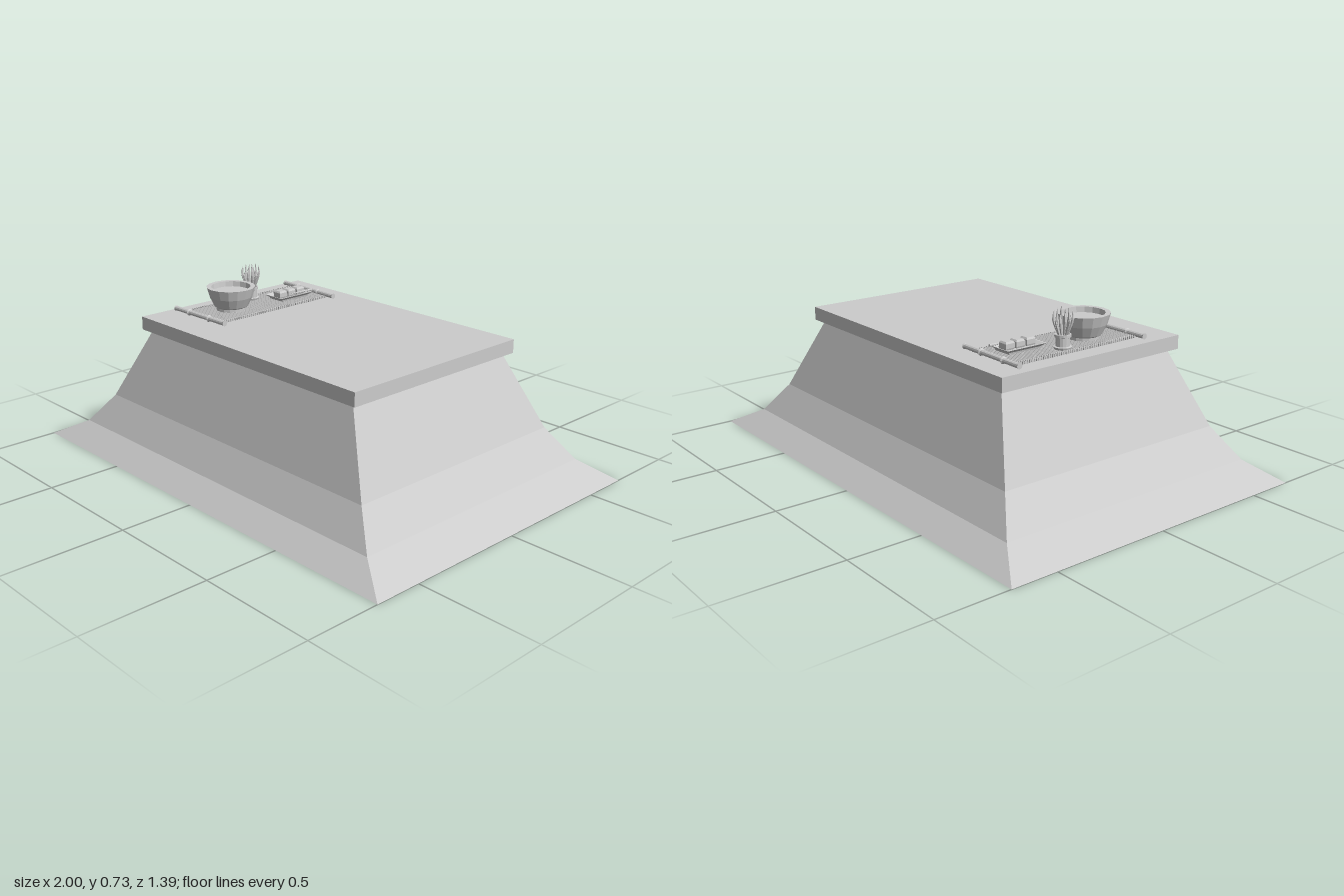
import * as THREE from 'three';

const grey = new THREE.MeshStandardMaterial({ color: 0xcccccc, flatShading: true });
const greyDouble = new THREE.MeshStandardMaterial({ color: 0xcccccc, flatShading: true, side: THREE.DoubleSide });

function add(parent, name, geometry, x = 0, y = 0, z = 0, material = grey) {
  const mesh = new THREE.Mesh(geometry, material);
  mesh.name = name;
  mesh.position.set(x, y, z);
  parent.add(mesh);
  return mesh;
}

function group(parent, name, x, y, z) {
  const g = new THREE.Group();
  g.name = name;
  g.position.set(x, y, z);
  parent.add(g);
  return g;
}

const lathe = (points, sides) =>
  new THREE.LatheGeometry(points.map(([r, y]) => new THREE.Vector2(r, y)), sides);

// Skin stacked rectangles given as [half width, y, half depth], lowest first
function rectLoft(rings, capBottom = false) {
  const positions = [];
  const index = [];
  for (const [w, y, d] of rings) positions.push(-w, y, d, w, y, d, w, y, -d, -w, y, -d);
  for (let r = 0; r < rings.length - 1; r++) {
    for (let i = 0; i < 4; i++) {
      const a = r * 4 + i, b = r * 4 + (i + 1) % 4;
      index.push(a, b, b + 4, a, b + 4, a + 4);
    }
  }
  if (capBottom) index.push(0, 2, 1, 0, 3, 2);
  const geometry = new THREE.BufferGeometry();
  geometry.setAttribute('position', new THREE.Float32BufferAttribute(positions, 3));
  geometry.setIndex(index);
  geometry.computeVertexNormals();
  return geometry;
}

// Slatted mat with stitched cords and a knotted rod at each end
function buildMat(parent) {
  const mat = group(parent, 'mat', -0.44, 0.565, -0.025);
  const slats = 56;
  const slat = new THREE.CylinderGeometry(0.0045, 0.0045, 0.236, 6).rotateZ(Math.PI / 2);
  const stitch = new THREE.BoxGeometry(0.004, 0.0105, 0.0075);
  for (let i = 0; i < slats; i++) {
    const z = -0.3 + 0.6 * i / (slats - 1);
    add(mat, 'slat', slat, 0, 0.0045, z);
    for (const x of [-0.117, -0.107, 0.117]) add(mat, 'stitch', stitch, x, 0.005, z);
  }
  const rod = lathe([
    [0, -0.162], [0.012, -0.162], [0.010, -0.155], [0.010, -0.075], [0.015, -0.07],
    [0.010, -0.065], [0.010, 0.055], [0.015, 0.06], [0.010, 0.065], [0.010, 0.155],
    [0.012, 0.162], [0, 0.162]], 10).rotateZ(-Math.PI / 2);
  for (const side of [-1, 1]) {
    const m = add(mat, 'endRod', rod, 0, 0.014, side * 0.308);
    m.rotation.y = 0.015 * side;
  }
}

// Faceted bowl with a foot and contents
function buildBowl(parent) {
  const bowl = group(parent, 'bowl', -0.447, 0.573, 0.11);
  add(bowl, 'bowlShell', lathe([
    [0, 0], [0.064, 0], [0.064, 0.012], [0.073, 0.018], [0.092, 0.058], [0.104, 0.1],
    [0.084, 0.1], [0.08, 0.07], [0.06, 0.03], [0, 0.025]], 16), 0, 0, 0, greyDouble);
  add(bowl, 'bowlContents', new THREE.CircleGeometry(0.081, 16).rotateX(-Math.PI / 2), 0, 0.078, 0);
}

// Small pot with a tuft of pointed, bulging blades
function buildPlant(parent) {
  const plant = group(parent, 'plant', -0.513, 0.573, -0.055);
  add(plant, 'pot', lathe([
    [0, 0], [0.033, 0], [0.036, 0.009], [0.027, 0.011], [0.027, 0.044],
    [0.032, 0.046], [0.032, 0.056], [0.026, 0.056], [0.025, 0.05], [0, 0.05]], 14));
  const rows = [[4, 0.008, 0.158], [8, 0.022, 0.157], [12, 0.034, 0.148]];
  rows.forEach(([count, spread, top], row) => {
    for (let i = 0; i < count; i++) {
      const a = (i + row * 0.5) / count * Math.PI * 2;
      const height = top - 0.012 * (i % 3);
      const at = (r, y) => new THREE.Vector3(Math.cos(a) * r, y, Math.sin(a) * r);
      const path = new THREE.CatmullRomCurve3([
        at(spread * 0.4, 0.045), at(spread * 0.8, 0.08), at(spread * 1.1, 0.115), at(spread, height)]);
      const radial = 5, steps = 6;
      const blade = new THREE.TubeGeometry(path, steps, 0.0055, radial);
      // Taper each ring toward the tip
      const p = blade.attributes.position;
      const v = new THREE.Vector3();
      for (let k = 0; k < p.count; k++) {
        const t = Math.floor(k / (radial + 1)) / steps;
        const centre = path.getPointAt(t);
        v.fromBufferAttribute(p, k).sub(centre);
        v.multiplyScalar(0.4 + 1.1 * t - 1.45 * t ** 4).add(centre);
        p.setXYZ(k, v.x, v.y, v.z);
      }
      blade.computeVertexNormals();
      add(plant, 'blade', blade, 0, 0, 0, greyDouble);
    }
  });
}

// Flared tray holding three sweets and a pick
function buildTray(parent) {
  const tray = group(parent, 'tray', -0.418, 0.573, -0.192);
  add(tray, 'trayShell', rectLoft([
    [0.04, 0, 0.072], [0.042, 0.008, 0.076], [0.056, 0.02, 0.092],
    [0.052, 0.02, 0.088], [0.038, 0.01, 0.07], [0, 0.01, 0]], true), 0, 0, 0, greyDouble);
  for (const z of [-0.05, 0, 0.05]) {
    add(tray, 'sweet', rectLoft([
      [0.019, 0.01, 0.019], [0.021, 0.016, 0.021], [0.021, 0.034, 0.021],
      [0.016, 0.041, 0.016], [0, 0.041, 0]], true), 0.002, 0, z);
  }
  const pick = add(tray, 'pick', new THREE.CylinderGeometry(0.005, 0.002, 0.115, 6).rotateX(-Math.PI / 2),
    0.035, 0.024, -0.045);
  pick.rotation.y = -0.06;
}

export function createModel() {
  const model = new THREE.Group();
  model.name = 'blanketTable';

  // Flaring blanket, open underneath
  add(model, 'blanket', rectLoft([
    [1, 0, 0.695], [0.855, 0.077, 0.597], [0.75, 0.205, 0.52], [0.595, 0.512, 0.412]]), 0, 0, 0, greyDouble);
  add(model, 'tableTop', new THREE.BoxGeometry(1.266, 0.056, 0.882), 0, 0.537, 0);

  buildMat(model);
  buildBowl(model);
  buildPlant(model);
  buildTray(model);
  return model;
}
